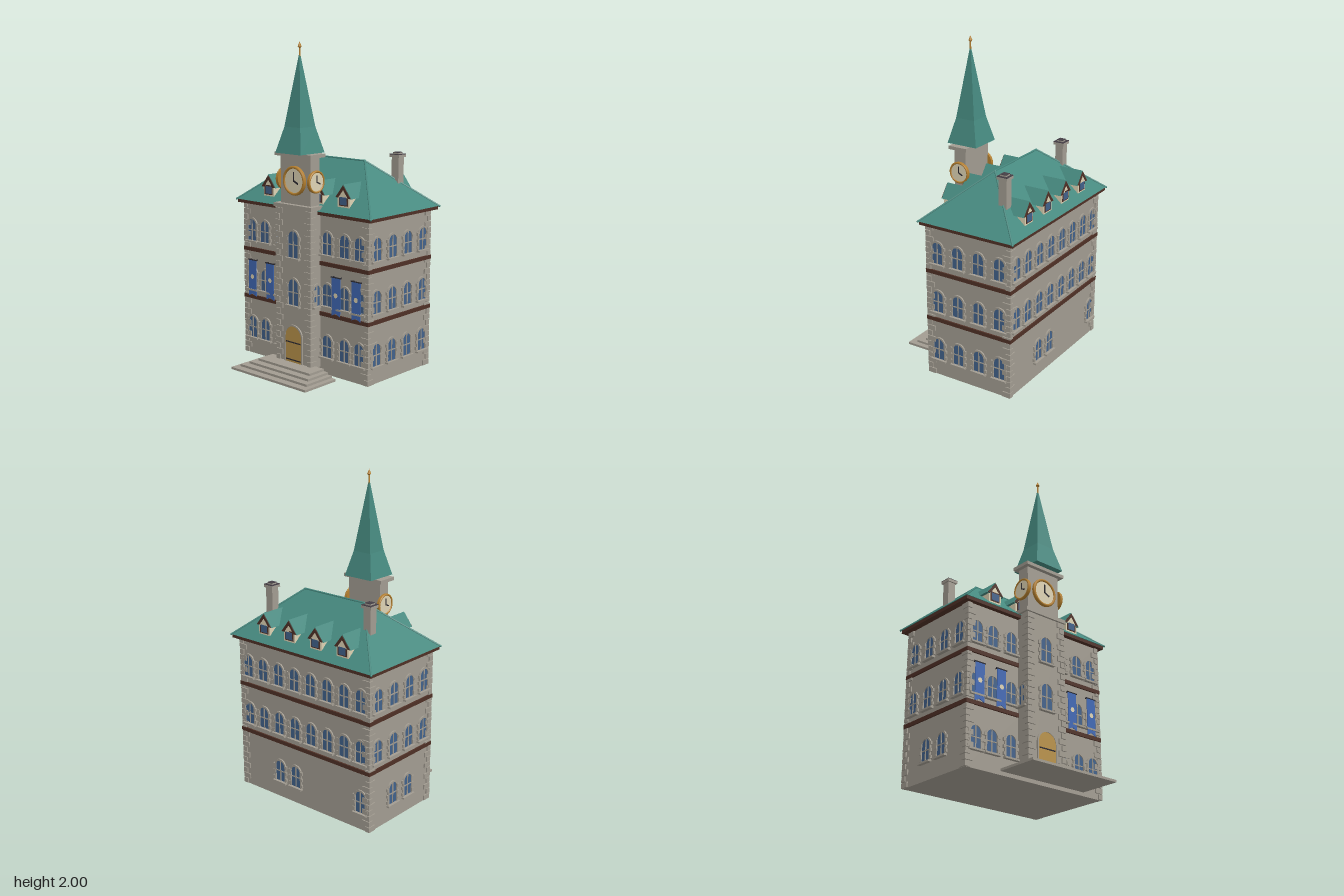
import * as THREE from 'three';

const mat = (name, color) => Object.assign(new THREE.MeshStandardMaterial({ color }), { name });
const M = {
  stone: mat('stone', 0xa29c91), roof: mat('copper roof', 0x46897f), brown: mat('brown timber', 0x4f3026),
  glass: mat('window glass', 0x41618a), banner: mat('banner blue', 0x4068b4), gold: mat('gold', 0xb5802f),
  cream: mat('cream', 0xded3b4), dark: mat('iron', 0x2c2a30), door: mat('door wood', 0xb8924a), slate: mat('chimney slate', 0x453e46),
};
M.banner.side = THREE.DoubleSide;

function add(parent, name, geo, material, x = 0, y = 0, z = 0) {
  const m = new THREE.Mesh(geo, material);
  m.name = name;
  m.position.set(x, y, z);
  parent.add(m);
  return m;
}
const box = (p, name, w, h, d, material, x, y, z) => add(p, name, new THREE.BoxGeometry(w, h, d), material, x, y, z);
// box given by its limits
const span = (p, name, material, x0, x1, y0, y1, z0, z1) =>
  box(p, name, x1 - x0, y1 - y0, z1 - z0, material, (x0 + x1) / 2, (y0 + y1) / 2, (z0 + z1) / 2);
function group(parent, name, x = 0, y = 0, z = 0, ry = 0) {
  const g = new THREE.Group();
  g.name = name;
  g.position.set(x, y, z);
  g.rotation.y = ry;
  parent.add(g);
  return g;
}
const extrude = (shape, depth) => new THREE.ExtrudeGeometry(shape, { depth, bevelEnabled: false, curveSegments: 8 });
const poly = (pts) => new THREE.Shape(pts.map(([x, y]) => new THREE.Vector2(x, y)));

// round-headed outline standing on y = 0
function arch(w, h, Type = THREE.Shape) {
  const s = new Type();
  s.moveTo(-w, 0);
  s.lineTo(w, 0);
  s.lineTo(w, h - w);
  s.absarc(0, h - w, w, 0, Math.PI, false);
  s.lineTo(-w, 0);
  return s;
}

// arched window with toothed stone surround, facing local +z
function addWindow(parent, x, y, z, ry, w = 0.036, h = 0.138) {
  const g = group(parent, 'window', x, y, z, ry);
  add(g, 'glass', extrude(arch(w, h), 0.003), M.glass);
  const ring = arch(w + 0.011, h + 0.011);
  ring.holes.push(arch(w, h, THREE.Path));
  add(g, 'surround', extrude(ring, 0.009), M.stone);
  box(g, 'mullion', 0.007, h - 0.002, 0.007, M.stone, 0, h / 2, 0.0035);
  box(g, 'transom', w * 2, 0.006, 0.007, M.stone, 0, h * 0.5, 0.0035);
  box(g, 'sill', w * 2 + 0.034, 0.011, 0.022, M.stone, 0, -0.003, 0.011);
  for (const s of [-1, 1]) for (const t of [0.15, 0.45, 0.75])
    box(g, 'surroundBlock', 0.018, h * 0.14, 0.011, M.stone, s * (w + 0.011), h * t, 0.0055);
}

// alternating corner stones up a vertical edge
function addQuoins(parent, x, z, sx, sz, y0, y1) {
  const n = Math.round((y1 - y0) / 0.037), step = (y1 - y0) / n;
  for (let i = 0; i < n; i++) {
    const a = i % 2 ? 0.055 : 0.032, b = i % 2 ? 0.032 : 0.055, e = 0.008;
    box(parent, 'cornerStone', a, step * 0.88, b, M.stone,
      x + sx * (e - a / 2), y0 + step * (i + 0.5), z + sz * (e - b / 2));
  }
}

// clock facing local +z
function addClock(parent, x, y, z, ry, r) {
  const g = group(parent, 'clock', x, y, z, ry);
  add(g, 'clockCase', new THREE.CylinderGeometry(r, r, 0.014, 32), M.gold, 0, 0, 0.004).rotation.x = Math.PI / 2;
  add(g, 'clockRim', new THREE.TorusGeometry(r * 0.92, r * 0.1, 8, 32), M.gold, 0, 0, 0.012);
  add(g, 'clockFace', new THREE.CircleGeometry(r * 0.86, 32), M.cream, 0, 0, 0.0135);
  box(g, 'minuteHand', r * 0.09, r * 0.62, 0.004, M.dark, 0, r * 0.29, 0.016);
  box(g, 'hourHand', r * 0.45, r * 0.11, 0.004, M.dark, r * 0.2, -r * 0.09, 0.016).rotation.z = -0.42;
}

// gabled dormer, facing local +z with origin on its centre line
function addDormer(parent, x, z, ry) {
  const g = group(parent, 'dormer', x, 0, z, ry);
  const roof = poly([[-0.063, 1.098], [0.063, 1.098], [0, 1.18]]);
  add(g, 'dormerRoof', extrude(roof, 0.16), M.roof, 0, 0, 0.11);
  span(g, 'dormerWall', M.cream, -0.045, 0.045, 1.03, 1.105, 0.12, 0.268);
  const trim = poly([[-0.058, 1.1], [-0.038, 1.1], [0, 1.148], [0.038, 1.1], [0.058, 1.1], [0, 1.174]]);
  add(g, 'gableTrim', extrude(trim, 0.006), M.brown, 0, 0, 0.268);
  add(g, 'gablePanel', extrude(poly([[-0.04, 1.1], [0.04, 1.1], [0, 1.15]]), 0.003), M.cream, 0, 0, 0.268);
  span(g, 'dormerFrame', M.brown, -0.034, 0.034, 1.052, 1.112, 0.266, 0.271);
  span(g, 'dormerGlass', M.glass, -0.026, 0.026, 1.058, 1.104, 0.27, 0.273);
}

function addBanner(parent, x) {
  const g = group(parent, 'banner', x, 0, 0.163);
  add(g, 'bannerCloth', extrude(poly([[-0.033, 0.385], [0, 0.4], [0.033, 0.385], [0.033, 0.62], [-0.033, 0.62]]), 0.004), M.banner);
  add(g, 'bannerRod', new THREE.CylinderGeometry(0.004, 0.004, 0.08, 8), M.dark, 0, 0.621, 0.002).rotation.z = Math.PI / 2;
  for (const s of [-1, 1]) span(g, 'rodBracket', M.dark, s * 0.03 - 0.002, s * 0.03 + 0.002, 0.619, 0.624, -0.017, 0.002);
  add(g, 'bannerEmblem', new THREE.CircleGeometry(0.016, 8), M.cream, 0, 0.512, 0.0055);
}

// hipped main roof with rolls along its ridge and hips
function addMainRoof(parent) {
  const X = 0.555, zf = 0.182, zb = -0.47, y0 = 1.005, R = 0.232, zr = -0.144, y1 = 1.285;
  const a = [-X, y0, zf], b = [X, y0, zf], c = [X, y0, zb], d = [-X, y0, zb], p = [-R, y1, zr], q = [R, y1, zr];
  const tris = [a, b, q, a, q, p, c, d, p, c, p, q, b, c, q, d, a, p, a, d, c, a, c, b];
  const geo = new THREE.BufferGeometry();
  geo.setAttribute('position', new THREE.Float32BufferAttribute(tris.flat(), 3));
  geo.computeVertexNormals();
  add(parent, 'mainRoof', geo, M.roof);
  for (const [s, e] of [[a, p], [d, p], [b, q], [c, q], [p, q]]) {
    const path = new THREE.LineCurve3(new THREE.Vector3(...s), new THREE.Vector3(...e));
    add(parent, 'ridgeRoll', new THREE.TubeGeometry(path, 1, 0.006, 6), M.roof);
  }
  for (const v of [a, b, c, d, p, q]) add(parent, 'ridgeEnd', new THREE.SphereGeometry(0.007, 8, 6), M.roof, ...v);
  span(parent, 'eaves', M.brown, -0.55, 0.55, 0.984, 1.006, -0.465, 0.177);
}

// four-sided frustum with sharp edges, half widths at bottom and top
function addFrustum(parent, name, lo, hi, y0, y1, z) {
  const k = Math.SQRT2;
  let geo = new THREE.CylinderGeometry(hi * k, lo * k, y1 - y0, 4).rotateY(Math.PI / 4).toNonIndexed();
  geo.computeVertexNormals();
  add(parent, name, geo, M.roof, 0, (y0 + y1) / 2, z);
}

export function createModel() {
  const model = new THREE.Group();
  model.name = 'townHall';
  const wx = 0.512, zf = 0.148, zb = -0.428, rows = [0.108, 0.428, 0.743];

  // main block with floor bands and corner stones
  const body = group(model, 'mainBlock');
  span(body, 'walls', M.stone, -wx, wx, 0, 0.99, zb, zf);
  for (const y of [0.377, 0.688]) span(body, 'floorBand', M.brown, -0.522, 0.522, y - 0.012, y + 0.012, zb - 0.01, zf + 0.01);
  for (const s of [-1, 1]) {
    addQuoins(body, s * wx, zf, s, 1, 0, 0.985);
    addQuoins(body, s * wx, zb, s, -1, 0, 0.985);
  }

  // windows on each side
  const H = Math.PI / 2;
  rows.forEach((y, floor) => {
    for (const s of [-1, 1]) for (const x of [0.195, 0.333, 0.448]) addWindow(body, s * x, y, zf, 0);
    const back = floor ? [-0.45, -0.325, -0.195, -0.065, 0.065, 0.195, 0.325, 0.45] : [-0.45, 0.065, 0.195];
    for (const x of back) addWindow(body, x, y, zb, Math.PI);
    for (const z of [0.075, -0.068, -0.213, -0.358]) {
      addWindow(body, wx, y, z, H);
      if (floor || (z < 0 && z > -0.3)) addWindow(body, -wx, y, z, -H);
    }
  });
  for (const x of [-0.435, -0.277, 0.277, 0.435]) addBanner(model, x);

  // roof, dormers and chimneys
  const top = group(model, 'roof');
  addMainRoof(top);
  for (const x of [-0.31, -0.104, 0.104, 0.31]) {
    addDormer(top, x, -0.13, 0);
    addDormer(top, x, -0.158, Math.PI);
  }
  for (const [x, z] of [[-0.361, -0.247], [0.364, -0.298]]) {
    const g = group(top, 'chimney', x, 0, z);
    span(g, 'chimneyShaft', M.stone, -0.026, 0.026, 1.02, 1.31, -0.026, 0.026);
    span(g, 'chimneyCap', M.stone, -0.035, 0.035, 1.305, 1.322, -0.035, 0.035);
    span(g, 'chimneyTop', M.slate, -0.035, 0.035, 1.322, 1.325, -0.035, 0.035);
    span(g, 'chimneyPot', M.stone, -0.02, 0.02, 1.322, 1.333, -0.02, 0.02);
    span(g, 'potTop', M.slate, -0.02, 0.02, 1.333, 1.336, -0.02, 0.02);
  }

  // clock tower
  const tower = group(model, 'clockTower'), tz = 0.18, tf = 0.237;
  span(tower, 'towerShaft', M.stone, -0.138, 0.138, 0.04, 1.015, 0.122, tf);
  span(tower, 'towerCornice', M.stone, -0.155, 0.155, 1.012, 1.036, 0.115, 0.25);
  span(tower, 'belfry', M.stone, -0.123, 0.123, 1.03, 1.33, 0.14, 0.22);
  span(tower, 'belfryCornice', M.stone, -0.148, 0.148, 1.324, 1.345, 0.118, 0.246);
  for (const s of [-1, 1]) {
    addQuoins(tower, s * 0.138, tf, s, 1, 0.05, 1.01);
    addClock(tower, s * 0.123, 1.18, tz, s * H, 0.067);
    addWindow(tower, s * 0.138, 0.425, 0.187, s * H, 0.024, 0.13);
  }
  addClock(tower, 0, 1.18, 0.22, 0, 0.088);
  for (const y of [0.415, 0.71]) addWindow(tower, 0, y, tf, 0, 0.041, 0.165);
  addFrustum(tower, 'spireSkirt', 0.104, 0.065, 1.345, 1.5, tz);
  addFrustum(tower, 'spire', 0.065, 0.003, 1.5, 1.925, tz);
  add(tower, 'finialRod', new THREE.CylinderGeometry(0.004, 0.005, 0.07, 8), M.gold, 0, 1.945, tz);
  add(tower, 'finialTip', new THREE.ConeGeometry(0.012, 0.03, 8), M.gold, 0, 1.985, tz);
  add(tower, 'finialBase', new THREE.ConeGeometry(0.012, 0.012, 8), M.gold, 0, 1.964, tz).rotation.x = Math.PI;

  // arched door with iron straps
  const door = group(tower, 'door', 0, 0.056, tf);
  add(door, 'doorLeaf', extrude(arch(0.066, 0.228), 0.006), M.door);
  const ring = arch(0.076, 0.238);
  ring.holes.push(arch(0.066, 0.228, THREE.Path));
  add(door, 'doorSurround', extrude(ring, 0.009), M.stone);
  for (const y of [0.016, 0.127]) box(door, 'doorStrap', 0.12, 0.007, 0.004, M.dark, 0, y, 0.007);

  // front steps
  const steps = group(model, 'steps');
  [[0.313, 0.47], [0.281, 0.423], [0.25, 0.378], [0.217, 0.33]].forEach(([x, z], i) =>
    span(steps, 'step', M.stone, -x, x, i * 0.014, (i + 1) * 0.014, 0.205, z));
  return model;
}
